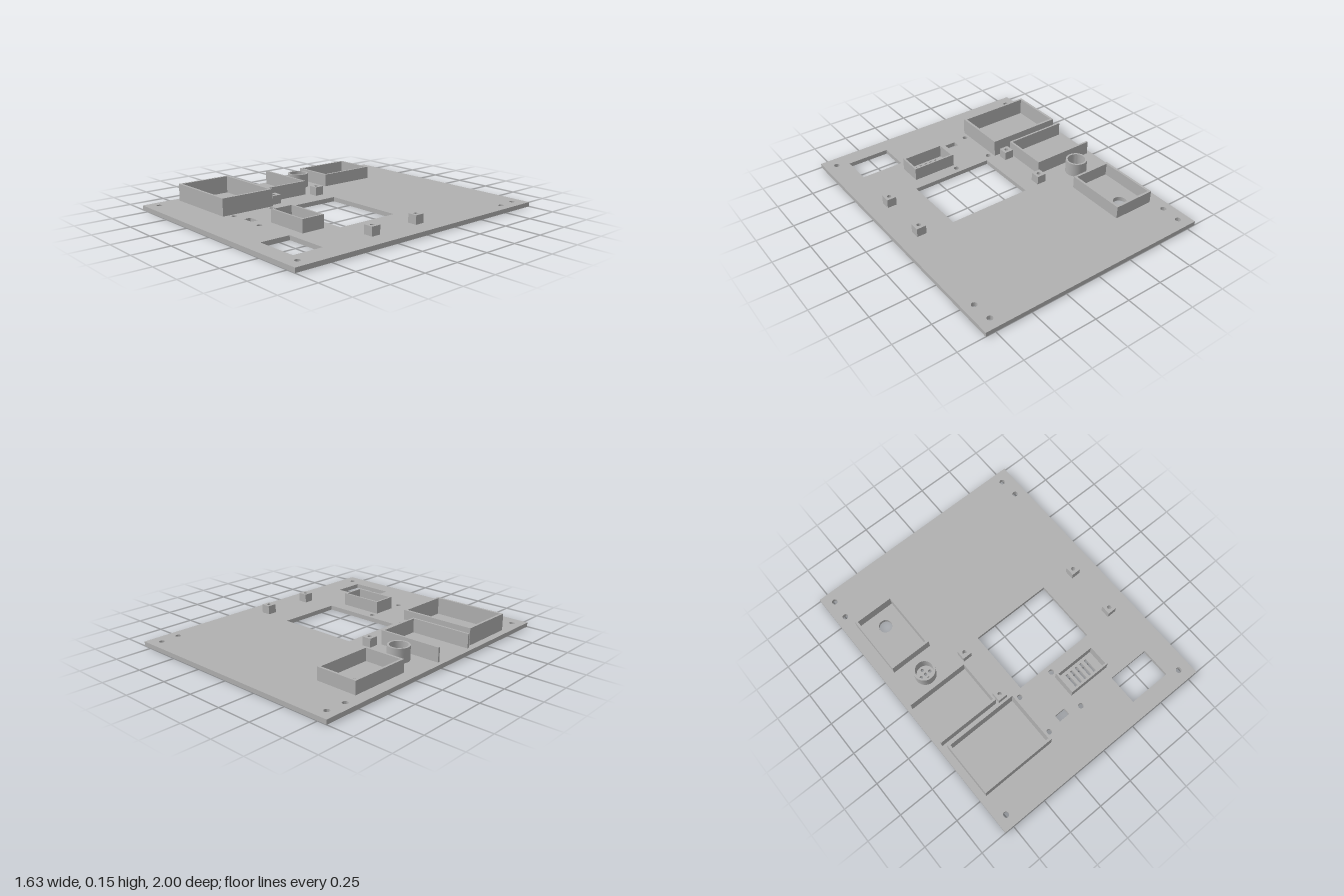
import * as THREE from 'three';
import { toCreasedNormals } from 'three/addons/utils/BufferGeometryUtils.js';

const PLATE = 0.03;

// Outlines are drawn in plan (x, z); shape y is -z so the extrusion rises along +y.
function rect(x0, x1, z0, z1, Type = THREE.Path) {
  const p = new Type();
  p.moveTo(x0, -z1);
  p.lineTo(x1, -z1);
  p.lineTo(x1, -z0);
  p.lineTo(x0, -z0);
  p.closePath();
  return p;
}

function circle(x, z, r, Type = THREE.Path) {
  const p = new Type();
  p.absarc(x, -z, r, 0, Math.PI * 2, false);
  return p;
}

export function createModel() {
  const group = new THREE.Group();
  group.name = 'enclosurePanel';
  const grey = new THREE.MeshStandardMaterial({ color: 0xb0b0b0 });
  grey.name = 'panelGrey';

  function raise(name, shape, holes, y0, y1) {
    shape.holes.push(...holes);
    const flat = new THREE.ExtrudeGeometry(shape, { depth: y1 - y0, bevelEnabled: false, curveSegments: 16 });
    flat.rotateX(-Math.PI / 2).translate(0, y0, 0);
    const mesh = new THREE.Mesh(toCreasedNormals(flat, 0.6), grey);
    mesh.name = name;
    group.add(mesh);
  }

  // Base plate with its cut-outs
  const cutouts = [
    rect(-0.153, 0.429, -0.1, 0.349), // display window
    rect(0.354, 0.651, 0.677, 0.886), // corner window
    rect(-0.1, -0.021, 0.635, 0.683), // small port
    circle(-0.58, -0.56, 0.045), // cable hole
  ];
  // Mounting holes near the edges
  for (const [x, z] of [[-0.743, -0.923], [0.733, -0.923], [-0.75, -0.788], [0.743, -0.788], [-0.743, 0.918], [0.733, 0.918]])
    cutouts.push(circle(x, z, 0.019));
  // Four inner screw holes
  for (const x of [-0.198, 0.074]) for (const z of [0.394, 0.69]) cutouts.push(circle(x, z, 0.018));
  // Sound holes inside the round collar
  for (const [dx, dz] of [[0, 0], [1, 0], [-1, 0], [0, 1], [0, -1]])
    cutouts.push(circle(-0.577 + dx * 0.035, -0.12 + dz * 0.035, 0.011));
  // Vent slots
  for (let i = 0; i < 5; i++) {
    const x = 0.14 + i * 0.04;
    cutouts.push(rect(x - 0.009, x + 0.009, 0.471, 0.571));
  }
  raise('basePlate', rect(-0.815, 0.815, -1, 1, THREE.Shape), cutouts, 0, PLATE);

  // Rectangular walled trays: name, x0, x1, z0, z1, wall, top
  const trays = [
    ['rearTray', -0.73, -0.434, -0.683, -0.26, 0.016, 0.117],
    ['frontTray', -0.767, -0.233, 0.363, 0.751, 0.017, 0.147],
    ['ventTray', 0.069, 0.376, 0.437, 0.6, 0.013, 0.117],
  ];
  for (const [name, x0, x1, z0, z1, w, top] of trays)
    raise(name, rect(x0, x1, z0, z1, THREE.Shape), [rect(x0 + w, x1 - w, z0 + w, z1 - w)], PLATE, top);

  // Three-sided bay, open towards the plate edge
  const bay = new THREE.Shape(
    [[-0.786, 0.328], [-0.341, 0.328], [-0.341, 0], [-0.786, 0], [-0.786, 0.014], [-0.355, 0.014], [-0.355, 0.314], [-0.786, 0.314]]
      .map(([x, z]) => new THREE.Vector2(x, -z)));
  raise('openBay', bay, [], PLATE, 0.127);

  // Round collar
  raise('roundCollar', circle(-0.577, -0.12, 0.073, THREE.Shape), [circle(-0.577, -0.12, 0.06)], PLATE, 0.127);

  // Square standoffs with blind screw holes
  const h = 0.033;
  for (const x of [-0.294, 0.656])
    for (const z of [-0.061, 0.307])
      raise('standoff', rect(x - h, x + h, z - h, z + h, THREE.Shape), [circle(x, z, 0.014)], PLATE, 0.09);

  return group;
}
